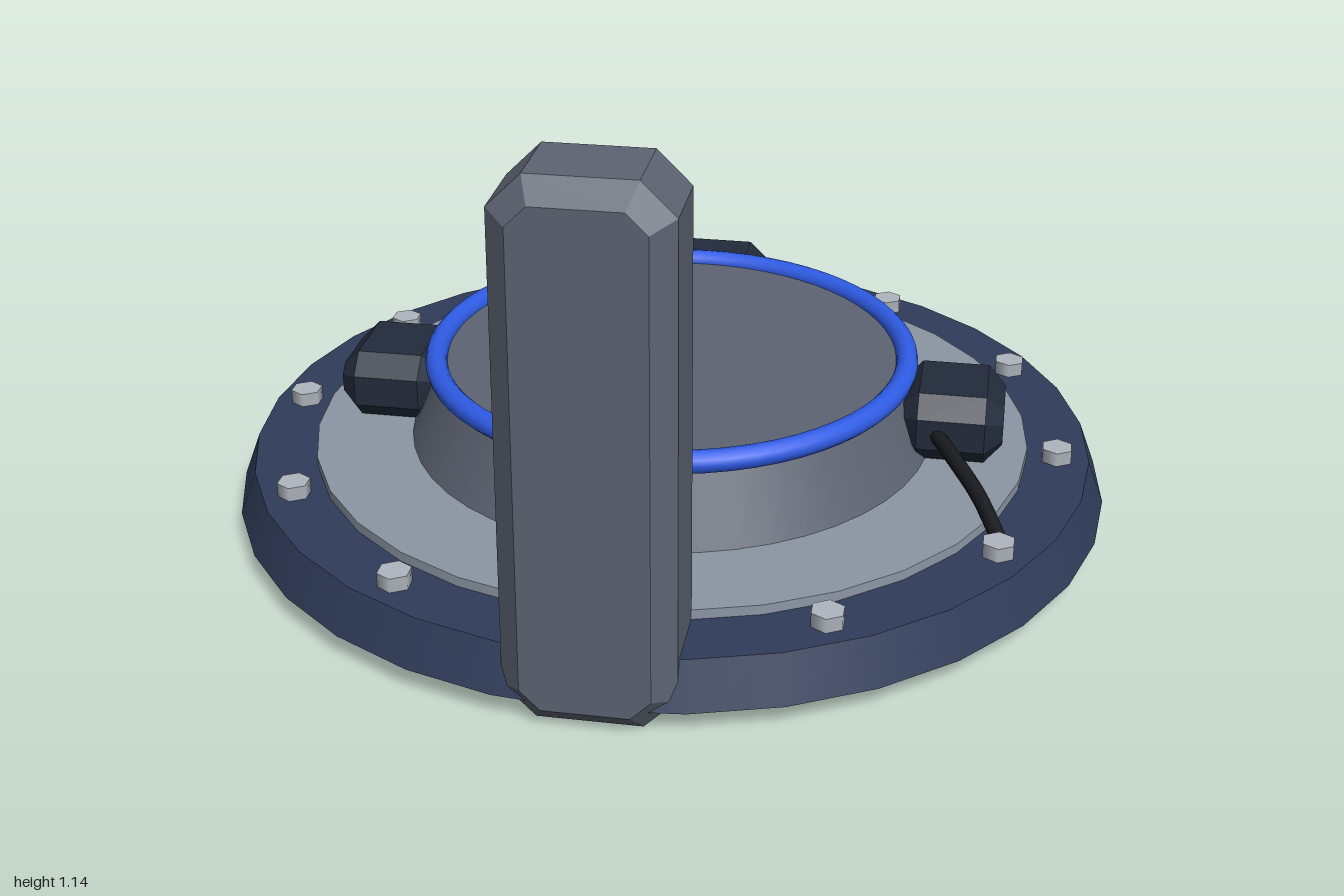
import * as THREE from 'three';

const paint = (color) => new THREE.MeshStandardMaterial({ color });

function add(parent, name, geometry, material, x = 0, y = 0, z = 0) {
  const mesh = new THREE.Mesh(geometry, material);
  mesh.name = name;
  mesh.position.set(x, y, z);
  parent.add(mesh);
  return mesh;
}

// Block with an octagonal outline (corners cut) and bevelled ends, centred on the origin
function chamferedBlock(w, h, d, cut, bevel) {
  const a = w / 2, b = h / 2;
  const outline = new THREE.Shape([
    [-a + cut, -b], [a - cut, -b], [a, -b + cut], [a, b - cut],
    [a - cut, b], [-a + cut, b], [-a, b - cut], [-a, -b + cut],
  ].map(([x, y]) => new THREE.Vector2(x, y)));
  return new THREE.ExtrudeGeometry(outline, {
    depth: d - 2 * bevel, bevelEnabled: true, bevelSegments: 1,
    bevelThickness: bevel, bevelSize: bevel, bevelOffset: -bevel,
  }).translate(0, 0, -d / 2 + bevel);
}

export function createModel() {
  const model = new THREE.Group();
  model.name = 'landingPad';
  const navy = paint(0x303c5a), plateGrey = paint(0x8c97a5), slate = paint(0x5d6472);
  const dark = paint(0x232b3b), blue = paint(0x2f5ce6), steel = paint(0xb0b6be), black = paint(0x16181d);

  // Round platform
  const pad = new THREE.Group();
  pad.name = 'platform';
  pad.position.z = -0.003;
  model.add(pad);
  add(pad, 'baseDisc', new THREE.CylinderGeometry(0.96, 0.997, 0.1, 32), navy, 0, 0.102, 0);
  add(pad, 'deckPlate', new THREE.CylinderGeometry(0.82, 0.82, 0.03, 32), plateGrey, 0, 0.159, 0);
  add(pad, 'raisedDais', new THREE.CylinderGeometry(0.52, 0.6, 0.18, 48), slate, 0, 0.264, 0);

  // Glowing ring around the top of the dais
  add(pad, 'ring', new THREE.TorusGeometry(0.539, 0.025, 12, 64).rotateX(Math.PI / 2), blue, 0, 0.355, 0);

  // Hexagonal bolts around the rim
  const boltGeometry = new THREE.CylinderGeometry(0.037, 0.037, 0.036, 6);
  for (let i = 0; i < 12; i++) {
    const a = (i * Math.PI) / 6;
    add(pad, 'bolt', boltGeometry, steel, 0.887 * Math.sin(a), 0.166, 0.887 * Math.cos(a));
  }

  // Four clamps against the dais
  const clampGeometry = chamferedBlock(0.26, 0.162, 0.23, 0.045, 0.04);
  for (let i = 0; i < 4; i++) {
    const a = (i * Math.PI) / 2;
    const clamp = add(pad, 'clamp', clampGeometry, dark, 0.648 * Math.sin(a), 0.254, 0.648 * Math.cos(a));
    clamp.rotation.y = a;
  }

  // Cable from the left clamp down to the rim
  const path = new THREE.CatmullRomCurve3([
    new THREE.Vector3(0.6, 0.26, 0.09),
    new THREE.Vector3(0.655, 0.235, 0.18),
    new THREE.Vector3(0.72, 0.2, 0.29),
    new THREE.Vector3(0.772, 0.16, 0.41),
  ]);
  add(pad, 'cable', new THREE.TubeGeometry(path, 20, 0.018, 8), black);

  // Upright pillar at the front edge
  add(model, 'pillar', chamferedBlock(0.35, 1.14, 0.255, 0.068, 0.045), slate, 0, 0.57, 0.8725);

  return model;
}
